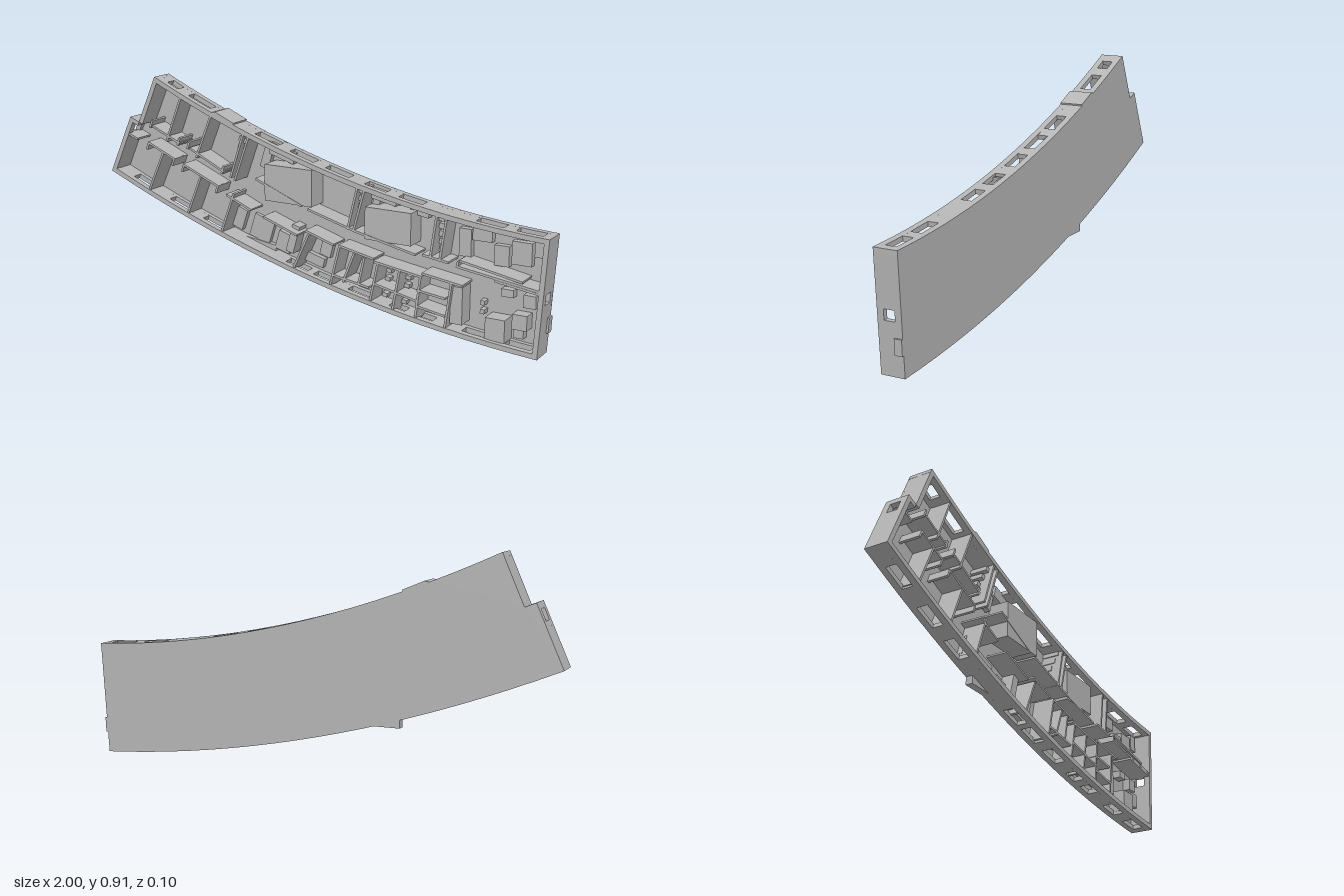
import * as THREE from 'three';

const BACK = -0.05, FRONT = 0.05, FLOOR = -0.043, WIN = 0.023;

// Curved long sides of the plan, and the slope halfway between them
const lower = x => 0.15 - 0.243 * x + 0.094 * x * x;
const upper = x => 0.632 - 0.282 * x + 0.12 * x * x;
const slope = x => Math.atan(-0.262 + 0.214 * x);

export function createModel() {
  const model = new THREE.Group();
  const grey = new THREE.MeshStandardMaterial({ color: 0xb5b5b5 });
  grey.name = 'plaster grey';

  // Upright prism over a plan polygon
  function prism(name, pts, z0, z1, parent = model) {
    const shape = new THREE.Shape(pts.map(p => new THREE.Vector2(p[0], p[1])));
    const geo = new THREE.ExtrudeGeometry(shape, { depth: z1 - z0, bevelEnabled: false });
    geo.translate(0, 0, z0);
    const mesh = new THREE.Mesh(geo, grey);
    mesh.name = name;
    parent.add(mesh);
  }

  // Straight wall with its thickness to the left of a -> b
  function wall(name, a, b, t, z0, z1, parent) {
    const l = Math.hypot(b[0] - a[0], b[1] - a[1]);
    const nx = -(b[1] - a[1]) / l * t, ny = (b[0] - a[0]) / l * t;
    prism(name, [a, b, [b[0] + nx, b[1] + ny], [a[0] + nx, a[1] + ny]], z0, z1, parent);
  }

  // Strip following one long side; t > 0 thickens upward
  function strip(name, f, a, b, t, z0, z1, parent) {
    const n = Math.max(1, Math.ceil((b - a) / 0.1)), edge = [], inner = [];
    for (let i = 0; i <= n; i++) {
      const x = a + (b - a) * i / n;
      const s = Math.atan((f(x + 0.01) - f(x - 0.01)) / 0.02);
      edge.push([x, f(x)]);
      inner.unshift([x - Math.sin(s) * t, f(x) + Math.cos(s) * t]);
    }
    prism(name, edge.concat(inner), z0, z1, parent);
  }

  // Long outer wall: sill band, head band, and piers between the windows
  function windowWall(name, f, a, b, t, windows) {
    const g = new THREE.Group();
    g.name = name;
    model.add(g);
    strip('sillBand', f, a, b, t, BACK, -WIN, g);
    strip('headBand', f, a, b, t, WIN, FRONT, g);
    let x = a;
    for (const [w0, w1] of [...windows, [b, b]]) {
      strip('pier', f, x, w0, t, -WIN, WIN, g);
      x = w1;
    }
  }

  // End wall with one window between fractions u and v of its length
  function endWall(name, a, b, t, u, v) {
    const at = k => [a[0] + (b[0] - a[0]) * k, a[1] + (b[1] - a[1]) * k];
    wall(name, a, b, t, BACK, -WIN);
    wall(name, a, b, t, WIN, FRONT);
    wall(name, a, at(u), t, -WIN, WIN);
    wall(name, at(v), b, t, -WIN, WIN);
  }

  // Floor slab
  const outline = [];
  for (let i = 0; i <= 20; i++) { const x = -1 + 1.97 * i / 20; outline.push([x, lower(x)]); }
  for (let i = 0; i <= 20; i++) { const x = 1 - 1.757 * i / 20; outline.push([x, upper(x)]); }
  outline.push([-0.845, 0.715], [-0.89, 0.733]);
  prism('floor', outline, BACK, FLOOR);

  // Outer walls
  windowWall('upperOuterWall', upper, -0.757, 1, -0.02, [[-0.71, -0.657], [-0.604, -0.497],
    [-0.278, -0.171], [-0.115, -0.005], [0.05, 0.155], [0.225, 0.32], [0.375, 0.476],
    [0.7, 0.81], [0.86, 0.965]]);
  windowWall('lowerOuterWall', lower, -1, 0.97, 0.02,
    [-0.86, -0.67, -0.5, -0.09, 0.04, 0.2, 0.37, 0.49, 0.7, 0.88].map(
      x => [x - (x > 0.3 && x < 0.5 ? 0.035 : 0.05), x + (x > 0.3 && x < 0.5 ? 0.035 : 0.05)]));
  endWall('leftEndWall', [-1, 0.487], [-0.89, 0.733], -0.02, 0.72, 0.9);
  wall('notchWall', [-0.89, 0.733], [-0.845, 0.715], -0.018, BACK, FRONT);
  wall('notchSideWall', [-0.845, 0.715], [-0.757, 0.914], -0.02, BACK, FRONT);
  endWall('rightEndWall', [0.97, 0.004], [1, 0.47], 0.02, 0.44, 0.53);
  prism('rightPanel', [[0.97, 0.088], [0.984, 0.088], [0.987, 0.15], [0.975, 0.15]], BACK, -0.018);
  prism('roofStep', [[-0.48, 0.79], [-0.455, 0.796], [-0.365, 0.758], [-0.37, 0.74]], BACK, FRONT);

  // Inner walls: plan start and end
  const T = 0.009;
  const walls = {
    upperPartition: [[-0.63, 0.845, -0.71, 0.647], [-0.48, 0.785, -0.56, 0.594],
      [-0.30, 0.71, -0.37, 0.52], [-0.325, 0.72, -0.39, 0.53], [0.205, 0.578, 0.16, 0.39],
      [0.235, 0.565, 0.185, 0.385], [0.545, 0.51, 0.52, 0.33], [0.585, 0.5, 0.56, 0.325]],
    upperCorridorWall: [[-0.78, 0.70, -0.64, 0.64], [-0.59, 0.625, -0.42, 0.545],
      [-0.265, 0.535, -0.05, 0.45], [-0.02, 0.44, 0.2, 0.38], [0.2, 0.38, 0.46, 0.325],
      [0.49, 0.33, 0.6, 0.315], [0.64, 0.305, 0.97, 0.26], [0.64, 0.305, 0.645, 0.33],
      [0.645, 0.33, 0.9, 0.285]],
    lowerCorridorWall: [[-0.91, 0.655, -0.86, 0.635], [-0.80, 0.625, -0.67, 0.57],
      [-0.62, 0.55, -0.45, 0.48], [-0.41, 0.45, -0.29, 0.40], [-0.23, 0.38, -0.07, 0.325],
      [-0.03, 0.35, 0.1, 0.31], [0.13, 0.31, 0.28, 0.28], [0.28, 0.27, 0.49, 0.24],
      [0.49, 0.255, 0.66, 0.232], [0.79, 0.275, 0.97, 0.25]],
    lowerPartition: [[-0.73, 0.595, -0.81, 0.42], [-0.54, 0.515, -0.61, 0.345],
      [-0.375, 0.465, -0.44, 0.29], [-0.02, 0.34, -0.09, 0.19], [0.125, 0.32, 0.08, 0.14],
      [0.19, 0.295, 0.14, 0.17], [0.235, 0.285, 0.21, 0.17], [0.295, 0.27, 0.26, 0.1],
      [0.39, 0.255, 0.36, 0.08], [0.48, 0.245, 0.46, 0.07], [0.61, 0.24, 0.585, 0.045],
      [0.1, 0.185, 0.26, 0.16], [0.28, 0.18, 0.47, 0.14], [0.47, 0.185, 0.59, 0.17],
      [0.47, 0.12, 0.59, 0.1]],
  };
  for (const [name, list] of Object.entries(walls))
    for (const [x1, y1, x2, y2] of list) wall(name, [x1, y1], [x2, y2], T, FLOOR - 0.001, 0.047);

  // Door stops at the ends of the corridor walls
  for (const [x, y] of [[-0.64, 0.65], [-0.78, 0.71], [-0.42, 0.555], [-0.59, 0.64], [-0.67, 0.56],
    [-0.8, 0.615], [-0.45, 0.47], [-0.62, 0.54]]) {
    const s = slope(x), d = 0.018;
    wall('doorJamb', [x + Math.sin(s) * d, y - Math.cos(s) * d],
      [x - Math.sin(s) * d, y + Math.cos(s) * d], T, FLOOR - 0.001, 0.047);
  }

  // Furniture block: centre, size, top height, and whether it turns with the curve
  function block(name, x, y, w, h, top, turned = true) {
    const mesh = new THREE.Mesh(new THREE.BoxGeometry(w, h, top - FLOOR + 0.002), grey);
    mesh.name = name;
    mesh.position.set(x, y, (top + FLOOR - 0.002) / 2);
    if (turned) mesh.rotation.z = slope(x);
    model.add(mesh);
  }

  // Tall core rooms
  block('coreRoom', -0.11, 0.53, 0.22, 0.15, 0.045, false);
  block('coreRoom', 0.34, 0.425, 0.2, 0.13, 0.045, false);
  prism('porch', [[-0.36, 0.217], [-0.21, 0.217], [-0.21, 0.25], [-0.36, 0.27]], BACK, -0.02);

  // Stair flights in the shafts and cabinets along the upper rooms
  for (let i = 0; i < 5; i++) {
    block('shaftStep', -0.335 - i * 0.012, 0.69 - i * 0.034, 0.035, 0.022, 0.03 - i * 0.012);
    block('shaftStep', 0.21 - i * 0.008, 0.55 - i * 0.035, 0.03, 0.022, 0.03 - i * 0.012);
    block('shaftStep', 0.56 - i * 0.005, 0.485 - i * 0.034, 0.03, 0.022, 0.03 - i * 0.012);
    block('corridorStep', 0.68 + i * 0.045, 0.315 - i * 0.008, 0.04, 0.03, -0.01);
  }
  for (const [x, y, w, h, top] of [
    [-0.17, 0.645, 0.12, 0.05, -0.01], [-0.25, 0.62, 0.04, 0.1, -0.02], [0.3, 0.525, 0.11, 0.04, 0.0],
    [0.45, 0.49, 0.08, 0.04, -0.01], [0.255, 0.47, 0.03, 0.09, -0.01],
    [-0.39, 0.345, 0.06, 0.09, -0.02], [-0.28, 0.31, 0.1, 0.1, -0.025], [-0.17, 0.27, 0.07, 0.08, -0.02],
    [-0.11, 0.3, 0.035, 0.12, 0.01], [-0.03, 0.22, 0.1, 0.04, -0.02], [0.03, 0.27, 0.05, 0.06, -0.02],
  ]) block('cabinet', x, y, w, h, top);

  // Desks and chairs at the right end
  for (const [x, y, w, h, top] of [
    [0.64, 0.39, 0.05, 0.11, -0.015], [0.71, 0.43, 0.08, 0.05, -0.015], [0.79, 0.36, 0.06, 0.08, -0.015],
    [0.87, 0.38, 0.08, 0.09, -0.015], [0.94, 0.41, 0.04, 0.07, -0.015],
    [0.63, 0.15, 0.05, 0.15, 0.03], [0.79, 0.08, 0.08, 0.09, 0.03], [0.88, 0.12, 0.06, 0.06, 0.01],
    [0.87, 0.075, 0.04, 0.05, -0.01], [0.91, 0.2, 0.05, 0.05, -0.01], [0.82, 0.22, 0.05, 0.03, -0.01],
  ]) block('desk', x, y, w, h, top, false);
  for (const [x, y] of [[0.72, 0.165], [0.72, 0.13]]) block('stool', x, y, 0.018, 0.018, -0.01);

  // Fixtures in the small wash rooms
  for (let i = 0; i < 4; i++) {
    block('fixture', 0.3 + i * 0.006, 0.125 + i * 0.034, 0.022, 0.016, -0.015);
    block('fixture', 0.385 + i * 0.006, 0.11 + i * 0.034, 0.022, 0.016, -0.015);
    block('fixture', 0.46 + i * 0.005, 0.12 + i * 0.03, 0.018, 0.016, -0.015);
  }
  return model;
}
